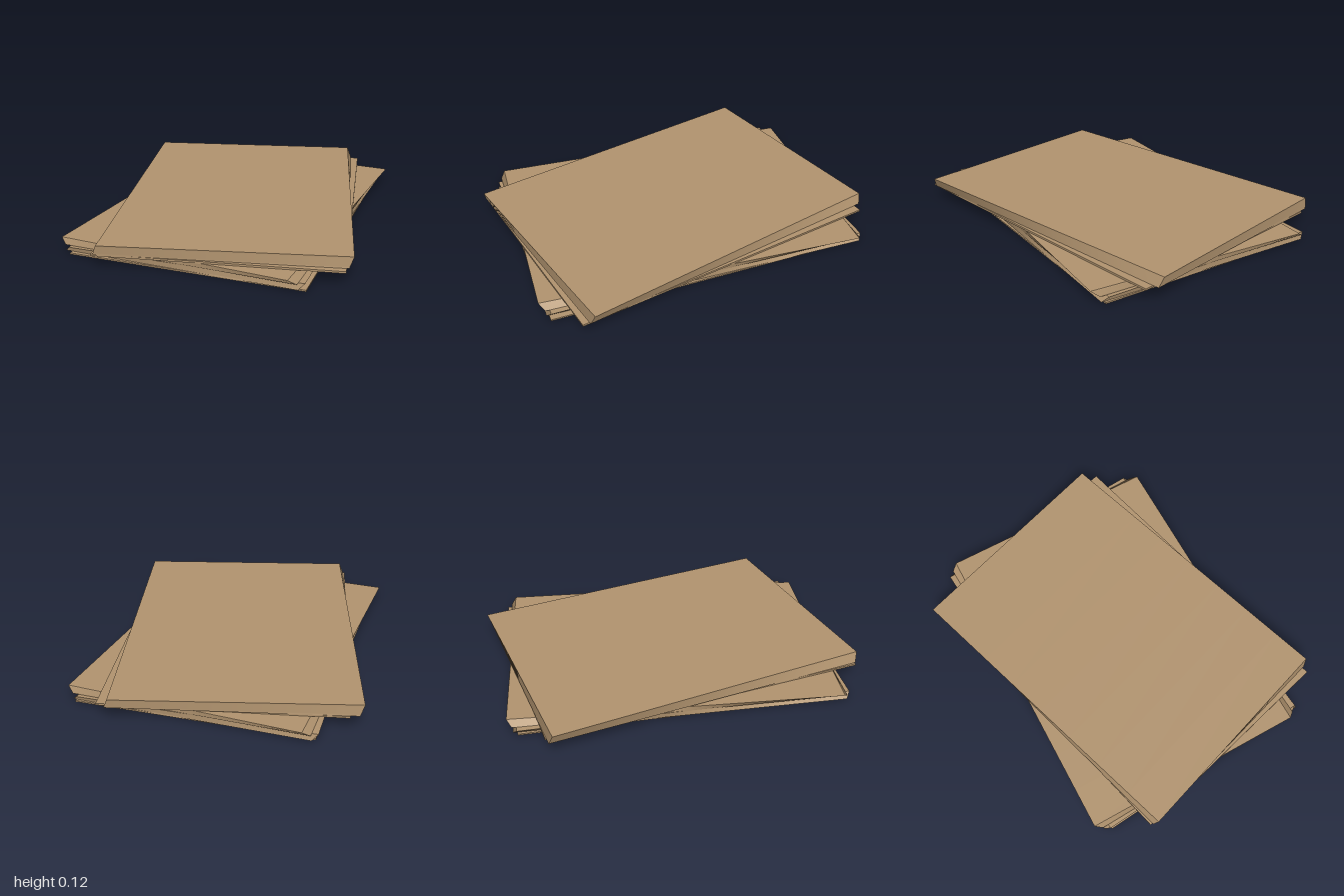
import * as THREE from 'three';

const WIDTH = 1.216;
const LENGTH = 1.725;

// A block of sheets whose turn changes evenly from its bottom to its top
function twistedStack(name, material, y0, y1, turn0, turn1, dx = 0, dz = 0) {
  const height = y1 - y0;
  const geometry = new THREE.BoxGeometry(WIDTH, height, LENGTH, 1, turn0 === turn1 ? 1 : 6, 8);
  const position = geometry.attributes.position;
  const point = new THREE.Vector3();
  const up = new THREE.Vector3(0, 1, 0);
  for (let i = 0; i < position.count; i++) {
    point.fromBufferAttribute(position, i);
    const t = point.y / height + 0.5;
    point.applyAxisAngle(up, THREE.MathUtils.lerp(turn0, turn1, t));
    position.setXYZ(i, point.x, point.y, point.z);
  }
  geometry.computeVertexNormals();
  const mesh = new THREE.Mesh(geometry, material);
  mesh.name = name;
  mesh.position.set(dx, (y0 + y1) / 2, dz);
  return mesh;
}

export function createModel() {
  const group = new THREE.Group();
  group.name = 'paperStack';
  const paper = new THREE.MeshStandardMaterial({ color: 0xb39570 });

  // name, bottom, top, turn at bottom, turn at top, shift in x and z
  const layers = [
    ['bottomSheet', 0, 0.008, 0.035, 0.035, 0.01, 0.005],
    ['lowerStack', 0.008, 0.036, 0.005, 0.038],
    ['middleStack', 0.036, 0.062, 0, -0.042],
    ['looseSheet', 0.062, 0.072, 0.216, 0.216, 0.02, 0.01],
    ['upperStack', 0.072, 0.125, 0.25, 0.275],
  ];
  for (const [name, y0, y1, turn0, turn1, dx, dz] of layers) {
    group.add(twistedStack(name, paper, y0, y1, turn0, turn1, dx, dz));
  }
  return group;
}
